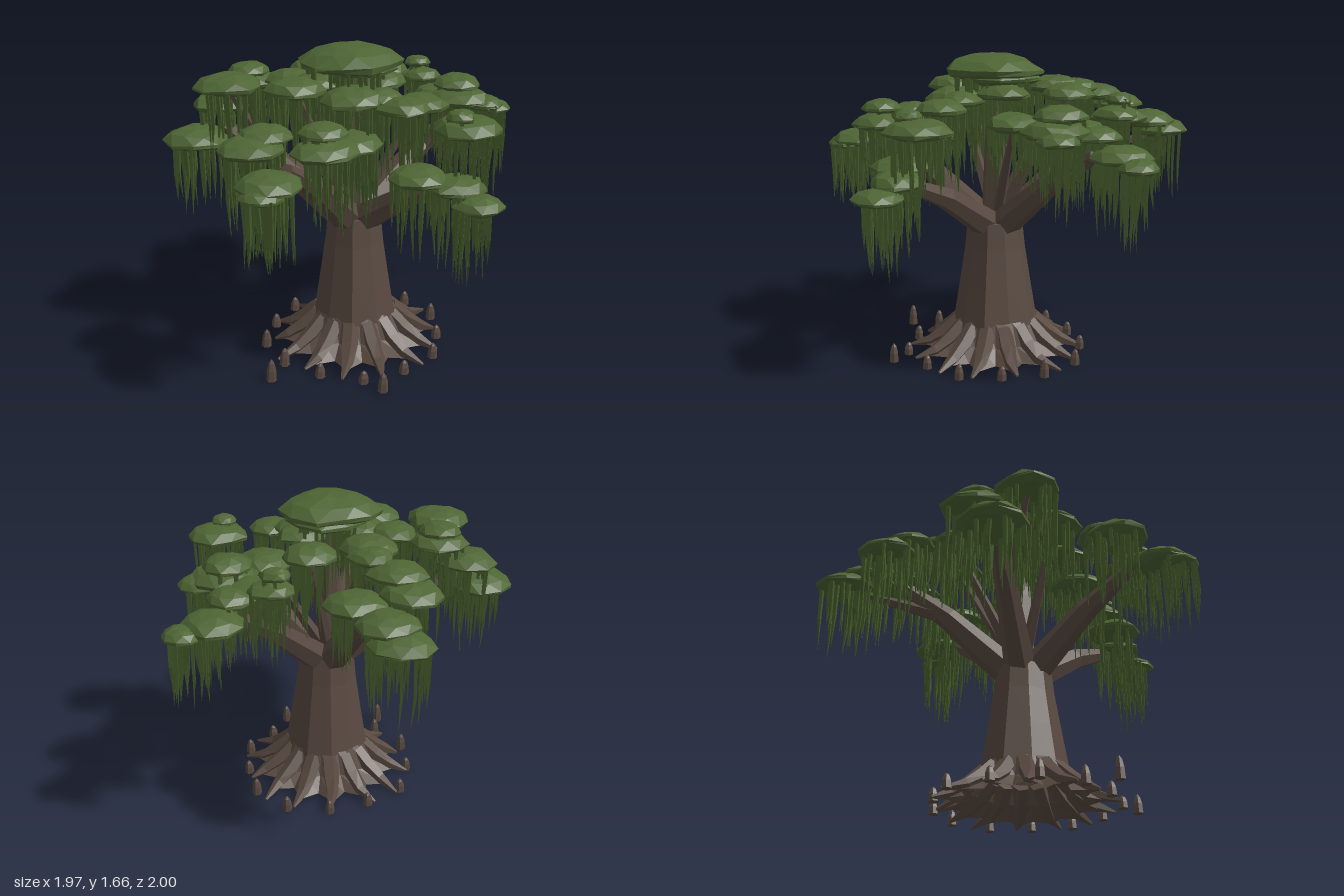
import * as THREE from 'three';
import { mergeGeometries } from 'three/addons/utils/BufferGeometryUtils.js';

const V = (x, y, z) => new THREE.Vector3(x, y, z);
const CX = -0.11, CZ = 0.04; // trunk axis
const ROOTS = 14;

export function createModel() {
  const tree = new THREE.Group();
  tree.name = 'swampTree';
  const mat = (name, color) => Object.assign(new THREE.MeshStandardMaterial({ color, flatShading: true }), { name });
  const bark = mat('bark', 0x584940);
  bark.side = THREE.DoubleSide; // the trunk base is open underneath
  const leaf = mat('leaf', 0x4e6534);
  const moss = mat('hangingMoss', 0x425829);

  let seed = 7;
  const rnd = () => {
    seed = (seed * 16807) % 2147483647;
    return seed / 2147483647;
  };
  const range = (a, b) => a + (b - a) * rnd();

  const add = (parent, name, geometry, material) => {
    const mesh = new THREE.Mesh(geometry, material);
    mesh.name = name;
    parent.add(mesh);
    return mesh;
  };
  const group = (parent, name) => {
    const g = new THREE.Group();
    g.name = name;
    parent.add(g);
    return g;
  };
  const faceted = (pos, idx) => {
    const g = new THREE.BufferGeometry();
    g.setAttribute('position', new THREE.Float32BufferAttribute(pos, 3));
    g.setIndex(idx);
    const flat = g.toNonIndexed();
    flat.computeVertexNormals();
    return flat;
  };

  // Closed polygonal limb swept through points, with one radius per point
  const limb = (pts, radii, sides) => {
    const pos = [], idx = [];
    pts.forEach((p, i) => {
      const t = pts[Math.min(i + 1, pts.length - 1)].clone().sub(pts[Math.max(i - 1, 0)]).normalize();
      const u = (Math.abs(t.y) > 0.95 ? V(1, 0, 0) : V(0, 1, 0)).cross(t).normalize();
      const w = t.clone().cross(u);
      for (let k = 0; k < sides; k++) {
        const a = (k / sides) * Math.PI * 2;
        const q = p.clone().addScaledVector(u, Math.cos(a) * radii[i]).addScaledVector(w, Math.sin(a) * radii[i]);
        pos.push(q.x, q.y, q.z);
      }
    });
    for (let i = 0; i < pts.length - 1; i++) {
      for (let k = 0; k < sides; k++) {
        const a = i * sides + k, b = i * sides + (k + 1) % sides;
        idx.push(a, b, b + sides, a, b + sides, a + sides);
      }
    }
    const end = (pts.length - 1) * sides;
    for (let k = 1; k < sides - 1; k++) idx.push(0, k + 1, k, end, end + k, end + k + 1);
    return faceted(pos, idx);
  };

  // Lathe around the trunk axis whose radius varies by a rule of side number and height
  const turned = (name, profile, sides, rule) => {
    const g = new THREE.LatheGeometry(profile.map(([r, y]) => new THREE.Vector2(r, y)), sides);
    const p = g.attributes.position;
    for (let i = 0; i < p.count; i++) {
      const s = rule(Math.floor(i / profile.length) % sides, p.getY(i));
      p.setXYZ(i, p.getX(i) * s, p.getY(i), p.getZ(i) * s);
    }
    add(tree, name, g, bark).position.set(CX, 0, CZ);
  };
  turned('trunk', [[0.225, 0.18], [0.19, 0.4], [0.16, 0.6], [0.145, 0.75], [0, 0.8]], 10, (k) => 1 + 0.05 * Math.sin(k * 2.3));
  // Star-shaped skirt whose points run out along the roots
  turned('trunkSkirt', [[0.41, 0.02], [0.3, 0.09], [0.215, 0.21]], ROOTS * 2, (k, y) => (k % 2 ? 1 : 0.8 + 0.9 * Math.max(0, y - 0.02)));

  // Point at an angle and distance from the trunk axis
  const around = (a, r, y) => V(CX + Math.cos(a) * r, y, CZ + Math.sin(a) * r);

  // Roots: tapering spikes spreading over the ground
  const roots = group(tree, 'roots');
  for (let i = 0; i < ROOTS; i++) {
    const a = (i / ROOTS) * Math.PI * 2, bend = a + range(-0.08, 0.08);
    const path = [around(a, 0.2, 0.175), around(a, 0.28, 0.1), around(a, 0.37, 0.045), around(bend, range(0.44, 0.51), 0.012)];
    add(roots, 'root', limb(path, [0.045, 0.046, 0.033, 0.008], 5), bark);
  }

  // Root knees: an uneven ring of stubs, two standing further out
  const knees = group(tree, 'rootKnees');
  const addKnee = (p, h) => {
    const path = [0, 0.5, 0.85, 1].map((t) => V(p.x + t * 0.004, h * t, p.z));
    add(knees, 'rootKnee', limb(path, [0.027, 0.024, 0.015, 0.005], 6), bark);
  };
  for (let i = 0; i < 13; i++) addKnee(around(-2.78 + i * 0.483, range(0.45, 0.5), 0), range(0.065, 0.1));
  addKnee(V(-0.72, 0, 0.2), 0.115);
  addKnee(V(-0.3, 0, 0.6), 0.1);

  // Foliage pad: squashed irregular dome with its underside at y = 0
  const padGeometry = (r, h) => {
    const sides = r > 0.2 ? 11 : 9;
    const rings = [[0.75, 0.04], [0.98, 0.2], [1, 0.36], [0.76, 0.73], [0.4, 0.94]];
    const pos = [0, 0, 0], idx = [];
    const wobble = Array.from({ length: sides }, () => range(0.94, 1.1));
    rings.forEach(([s, t], j) => {
      for (let k = 0; k < sides; k++) {
        const a = ((k + Math.max(0, j - 2) * 0.5) / sides) * Math.PI * 2;
        const rr = r * s * wobble[k] * range(0.97, 1.03);
        pos.push(Math.cos(a) * rr, h * (t + range(-0.05, 0.05)), Math.sin(a) * rr);
      }
    });
    pos.push(0, h, 0);
    const top = 1 + rings.length * sides;
    for (let k = 0; k < sides; k++) {
      const n = (k + 1) % sides;
      idx.push(0, 1 + k, 1 + n, top, top - sides + n, top - sides + k);
      for (let j = 0; j < rings.length - 1; j++) {
        const a = 1 + j * sides + k, b = 1 + j * sides + n;
        idx.push(a, a + sides, b, b, a + sides, b + sides);
      }
    }
    return faceted(pos, idx);
  };

  // Strands of moss hanging below a pad
  const mossGeometry = (r) => {
    const strands = [];
    const sway = () => range(-0.008, 0.008);
    for (let i = 0; i < r * 125; i++) {
      const a = rnd() * Math.PI * 2, d = r * 0.88 * Math.sqrt(rnd());
      const x = Math.cos(a) * d, z = Math.sin(a) * d, l = range(0.17, 0.38), w = range(0.01, 0.017);
      const path = [V(x, 0.03, z), V(x + sway(), -l * 0.5, z + sway()), V(x + sway(), -l, z + sway())];
      strands.push(limb(path, [w, w * 0.8, 0.001], 4));
    }
    return mergeGeometries(strands);
  };

  // Bough from the trunk top to a tip; pads are [x, z, underside y, radius], the first few carried by side limbs
  const canopy = (name, tip, fork, limbCount, pads) => {
    const section = group(tree, name);
    const start = V(tip.x - CX, 0, tip.z - CZ).clampLength(0, 0.06).add(V(CX, 0.73, CZ));
    const mid = start.clone().lerp(tip, 0.55);
    mid.y += 0.03;
    add(section, 'bough', limb([start, mid, tip], [0.085, 0.06, 0.034], 6), bark);
    const from = start.clone().lerp(tip, fork);
    pads.forEach(([x, z, y, r], i) => {
      if (i < limbCount) add(section, 'sideLimb', limb([from, V(x, y + 0.02, z)], [0.04, 0.014], 5), bark);
      const clump = group(section, 'foliageClump');
      clump.position.set(x, y, z);
      add(clump, 'foliagePad', padGeometry(r, 0.03 + r * 0.4), leaf);
      add(clump, 'mossStrands', mossGeometry(r), moss);
    });
  };

  canopy('crown', V(-0.12, 1.5, 0.03), 0, 4, [
    [0.22, -0.18, 1.42, 0.14], [-0.45, 0.04, 1.43, 0.15], [-0.04, -0.33, 1.43, 0.15], [0.21, 0.17, 1.29, 0.15],
    [-0.13, 0.04, 1.52, 0.26], [-0.08, 0.02, 1.49, 0.2], [-0.3, 0.3, 1.19, 0.16], [-0.22, 0.22, 1.38, 0.17],
    [-0.33, -0.22, 1.42, 0.13], [0.02, 0.08, 1.42, 0.14], [-0.26, -0.06, 1.42, 0.14], [-0.1, 0.27, 1.39, 0.12],
  ]);
  canopy('leftCanopy', V(0.6, 1.19, -0.02), 0.6, 1, [
    [0.5, 0.15, 1.28, 0.17], [0.5, 0.12, 1.36, 0.13], [0.6, 0.22, 1.26, 0.11], [0.52, -0.24, 1.34, 0.11], [0.51, -0.26, 1.42, 0.07],
    [0.48, -0.04, 1.28, 0.12], [0.6, -0.03, 1.26, 0.12], [0.74, -0.06, 1.17, 0.15], [0.89, -0.02, 1.15, 0.1],
  ]);
  canopy('backCanopy', V(0.14, 1.24, -0.6), 0.65, 1, [
    [0.27, -0.84, 1.18, 0.155], [0.26, -0.74, 1.24, 0.15], [0.05, -0.7, 1.32, 0.15],
    [0.02, -0.58, 1.38, 0.14], [0.25, -0.52, 1.27, 0.15], [0.04, -0.42, 1.43, 0.11],
  ]);
  canopy('backRightCanopy', V(-0.63, 1.2, -0.4), 0.6, 1, [
    [-0.68, -0.24, 1.42, 0.17], [-0.76, -0.48, 1.1, 0.18], [-0.6, -0.5, 1.27, 0.16],
    [-0.47, -0.42, 1.39, 0.15], [-0.47, -0.42, 1.45, 0.11],
  ]);
  canopy('frontRightCanopy', V(-0.68, 1.17, 0.36), 0.6, 0, [
    [-0.79, 0.21, 1.22, 0.165], [-0.7, 0.19, 1.27, 0.13], [-0.82, 0.45, 1.12, 0.15],
    [-0.89, 0.51, 1.1, 0.1], [-0.55, 0.49, 1.24, 0.155], [-0.55, 0.47, 1.33, 0.11],
  ]);
  canopy('frontCanopy', V(0.02, 1.05, 0.68), 0.6, 0, [
    [-0.06, 0.42, 1.36, 0.13], [-0.13, 0.63, 1.08, 0.145], [0.12, 0.68, 1.29, 0.165],
    [0.06, 0.7, 1.37, 0.07], [0.04, 0.865, 0.98, 0.125], [0.02, 0.74, 1.04, 0.14],
  ]);
  return tree;
}
